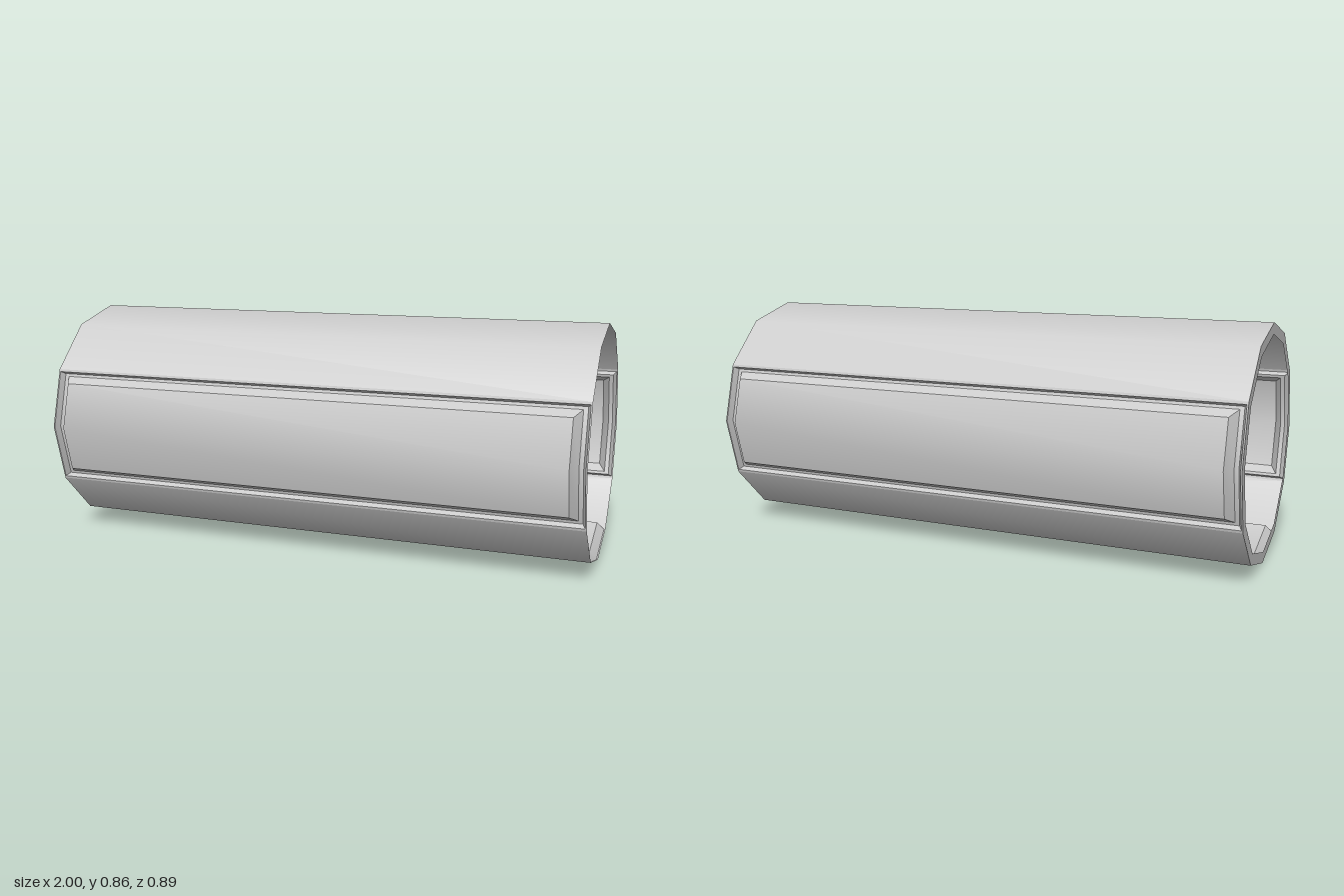
import * as THREE from 'three';
import { toCreasedNormals } from 'three/addons/utils/BufferGeometryUtils.js';

const R = 0.4275;                    // radius of the twelve-sided shell
const S = R * Math.sin(Math.PI / 6); // half height of a two-facet panel
const SLOPE = Math.tan(Math.PI / 12);
const material = new THREE.MeshStandardMaterial({ color: 0xcccccc, side: THREE.DoubleSide });

function mesh(name, geometry) {
  const m = new THREE.Mesh(geometry, material);
  m.name = name;
  return m;
}

// Smooth strip of shell facets along x; degrees run from the front (+z) upwards
function shellStrip(startDeg, facets) {
  const rad = Math.PI / 180;
  const g = new THREE.CylinderGeometry(R, R, 2, facets, 1, true, startDeg * rad, facets * 30 * rad);
  return g.rotateZ(Math.PI / 2);
}

// Panel of two angled facets facing +z, stepped through nested loops
// of [half length, half height, ridge radius]
function panelGeometry(loops) {
  const points = [], index = [];
  for (const [hx, s, r] of loops) {
    for (const [x, y] of [[hx, -s], [hx, 0], [hx, s], [-hx, s], [-hx, 0], [-hx, -s]]) {
      points.push(x, y, r - Math.abs(y) * SLOPE);
    }
  }
  for (let k = 0; k < loops.length - 1; k++) {
    for (let i = 0; i < 6; i++) {
      const a = k * 6 + i, b = k * 6 + (i + 1) % 6;
      index.push(a, b, b + 6, a, b + 6, a + 6);
    }
  }
  const c = (loops.length - 1) * 6;
  for (const i of [0, 1, 4, 0, 4, 5, 1, 2, 3, 1, 3, 4]) index.push(c + i);
  const g = new THREE.BufferGeometry();
  g.setAttribute('position', new THREE.Float32BufferAttribute(points, 3));
  g.setIndex(index);
  return toCreasedNormals(g, 0.6);
}

export function createModel() {
  const model = new THREE.Group();
  model.name = 'panelledTube';
  const body = new THREE.Group();
  body.name = 'body';
  body.position.y = R;
  model.add(body);

  // Plain shell facets
  body.add(mesh('upperShell', shellStrip(30, 4)));
  body.add(mesh('lowerFrontShell', shellStrip(-60, 1)));
  body.add(mesh('lowerBackShell', shellStrip(210, 1)));

  // Side panels: thin rim, groove, raised centre
  const rim = [[1, S, R], [0.995, 0.205, R]];
  const side = panelGeometry([...rim, [0.985, 0.195, 0.405], [0.97, 0.185, 0.405], [0.945, 0.165, 0.444]]);
  body.add(mesh('frontPanel', side));
  const back = mesh('backPanel', side);
  back.rotation.y = Math.PI;
  body.add(back);

  // Recessed bottom panel
  const bottom = mesh('bottomPanel', panelGeometry([...rim, [0.97, 0.192, 0.396]]));
  bottom.rotation.x = Math.PI / 2;
  body.add(bottom);

  // Flat ring closing the wall at one end only
  const ring = mesh('endRing', new THREE.RingGeometry(R - 0.041, R, 12, 1).rotateY(-Math.PI / 2));
  ring.position.x = -1;
  body.add(ring);

  return model;
}
